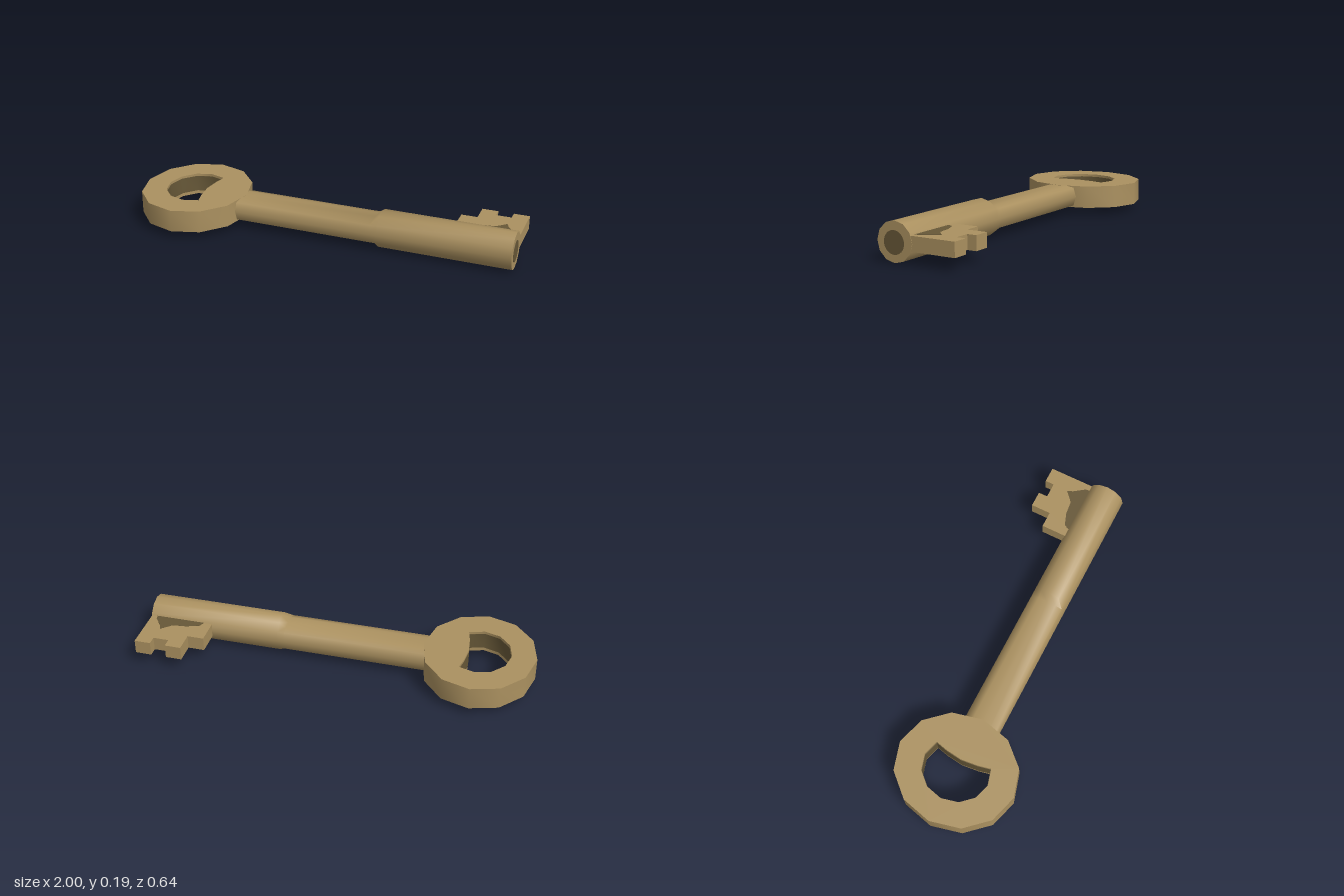
import * as THREE from 'three';
import { toCreasedNormals } from 'three/addons/utils/BufferGeometryUtils.js';

const brass = new THREE.MeshStandardMaterial({ color: 0xab9160 });
brass.name = 'agedBrass';
const dark = new THREE.MeshStandardMaterial({ color: 0x675838 });
dark.name = 'darkTarnish';

const vectors = (pts) => pts.map(([x, y]) => new THREE.Vector2(x, y));

// Flat plate lying in the ground plane; outline points are (x, -z)
function plate(name, outline, y0, y1, material, hole) {
  const shape = new THREE.Shape(vectors(outline));
  if (hole) shape.holes.push(new THREE.Path(vectors(hole)));
  const geo = new THREE.ExtrudeGeometry(shape, { depth: y1 - y0, bevelEnabled: false });
  geo.rotateX(-Math.PI / 2);
  geo.translate(0, y0, 0);
  const mesh = new THREE.Mesh(toCreasedNormals(geo, 0.7), material);
  mesh.name = name;
  return mesh;
}

export function createModel() {
  const key = new THREE.Group();
  key.name = 'key';
  const axisY = 0.097, axisZ = 0.004, radius = 0.097;

  // Twelve-sided bow with a D-shaped opening
  const ring = [];
  for (let i = 0; i < 12; i++) {
    const a = (i / 12) * Math.PI * 2;
    ring.push([-0.715 + 0.285 * Math.cos(a), -0.004 + 0.315 * Math.sin(a)]);
  }
  const opening = [];
  for (let i = 2; i <= 10; i++) {
    const a = (i / 12) * Math.PI * 2;
    opening.push([-0.715 + 0.16 * Math.cos(a), -0.003 + 0.175 * Math.sin(a)]);
  }
  opening.push([-0.65, -0.09], [-0.66, 0], [-0.65, 0.085]);
  key.add(plate('bow', ring, 0.039, 0.156, brass, opening));

  // Thin dark band lining the opening, leaving a bright rim above and below
  const inner = opening.map(([x, y]) => [-0.75 + (x + 0.75) * 0.985, y * 0.985]);
  key.add(plate('openingTarnish', opening, 0.058, 0.143, dark, inner));

  // Round shaft, pressed flat above and below behind the shoulder
  const profile = [[0, -0.48], [radius, -0.48], [radius, 0.28], [radius, 0.315], [radius, 1], [0, 1]];
  const shaftGeo = new THREE.LatheGeometry(vectors(profile), 12);
  shaftGeo.rotateZ(-Math.PI / 2);
  const p = shaftGeo.attributes.position;
  for (let i = 0; i < p.count; i++) {
    if (p.getX(i) < 0.3) p.setY(i, THREE.MathUtils.clamp(p.getY(i), -0.058, 0.058));
  }
  const shaft = new THREE.Mesh(toCreasedNormals(shaftGeo, 1.15), brass);
  shaft.name = 'shaft';
  shaft.position.set(0, axisY, axisZ);
  key.add(shaft);

  // Dark bore on the tip
  const boreGeo = new THREE.CylinderGeometry(0.056, 0.056, 0.004, 32);
  boreGeo.rotateZ(-Math.PI / 2);
  const bore = new THREE.Mesh(boreGeo, dark);
  bore.name = 'bore';
  bore.position.set(0.999, axisY - 0.003, 0.007);
  key.add(bore);

  // Notched bit
  const bit = [
    [0.668, 0], [0.998, 0], [0.998, 0.32], [0.915, 0.32], [0.915, 0.272],
    [0.835, 0.272], [0.835, 0.32], [0.752, 0.32], [0.752, 0.215], [0.668, 0.215],
  ];
  key.add(plate('bit', bit, 0.062, 0.134, brass));

  // Tarnish patches on both faces of the bit
  const patch = [
    [0.705, 0.07], [0.97, 0.07], [0.965, 0.105], [0.925, 0.16], [0.912, 0.19],
    [0.885, 0.165], [0.86, 0.143], [0.79, 0.135], [0.725, 0.112],
  ];
  key.add(plate('tarnishTop', patch, 0.133, 0.135, dark));
  key.add(plate('tarnishBottom', patch, 0.061, 0.063, dark));

  return key;
}
